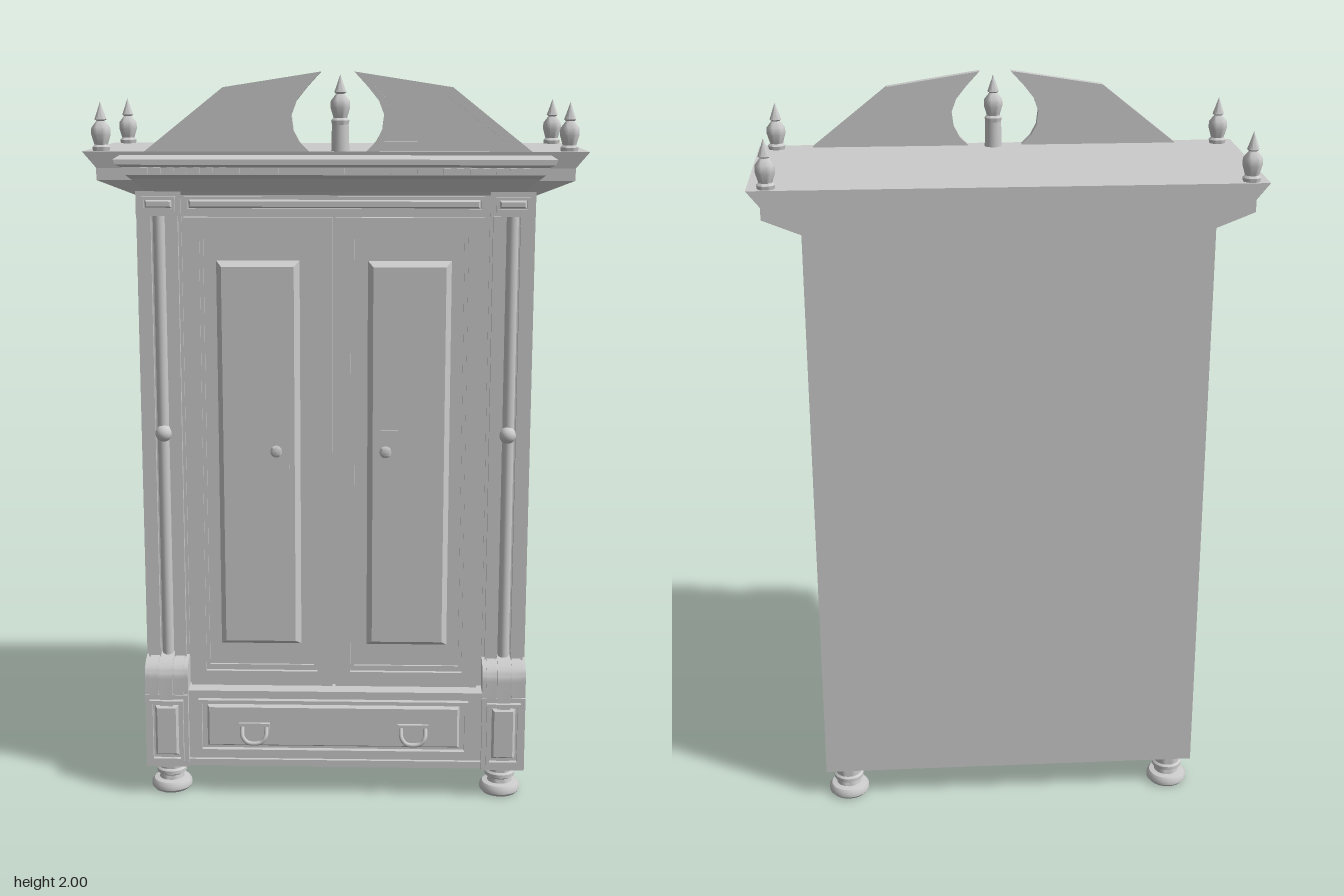
import * as THREE from 'three';
import { toCreasedNormals } from 'three/addons/utils/BufferGeometryUtils.js';

const grey = new THREE.MeshStandardMaterial({ color: 0xcccccc });

export function createModel() {
  const model = new THREE.Group();
  const add = (name, geo, x = 0, y = 0, z = 0, parent = model) => {
    const m = new THREE.Mesh(geo, grey);
    m.name = name;
    m.position.set(x, y, z);
    parent.add(m);
    return m;
  };

  // Box given by its limits
  const box = (name, x0, x1, y0, y1, z0, z1) =>
    add(name, new THREE.BoxGeometry(x1 - x0, y1 - y0, z1 - z0), (x0 + x1) / 2, (y0 + y1) / 2, (z0 + z1) / 2);

  // Capped solid through four-cornered rings
  const loft = (rings) => {
    const p = [];
    const quad = (a, b, c, d) => p.push(...a, ...b, ...c, ...a, ...c, ...d);
    for (let r = 0; r < rings.length - 1; r++) {
      for (let i = 0; i < 4; i++) {
        const j = (i + 1) % 4;
        quad(rings[r][i], rings[r][j], rings[r + 1][j], rings[r + 1][i]);
      }
    }
    quad(...[...rings[0]].reverse());
    quad(...rings[rings.length - 1]);
    const g = new THREE.BufferGeometry();
    g.setAttribute('position', new THREE.Float32BufferAttribute(p, 3));
    g.computeVertexNormals();
    return g;
  };
  const ringY = ([y, hx, zf, zb]) => [[-hx, y, zf], [hx, y, zf], [hx, y, zb], [-hx, y, zb]];
  const ringZ = (x0, x1, y0, y1, z) => [[x0, y0, z], [x1, y0, z], [x1, y1, z], [x0, y1, z]];

  // Raised field with sloping edges
  const raised = (name, x0, x1, y0, y1, z0, z1, bevel) =>
    add(name, loft([ringZ(x0, x1, y0, y1, z0), ringZ(x0 + bevel, x1 - bevel, y0 + bevel, y1 - bevel, z1)]));

  // Rectangular moulding with an opening
  const frame = (name, x0, x1, y0, y1, w, z0, z1) => {
    const rect = (C, a, b, c, d) =>
      new C([[a, c], [b, c], [b, d], [a, d]].map(([x, y]) => new THREE.Vector2(x, y)));
    const s = rect(THREE.Shape, x0, x1, y0, y1);
    s.holes.push(rect(THREE.Path, x0 + w, x1 - w, y0 + w, y1 - w));
    add(name, new THREE.ExtrudeGeometry(s, { depth: z1 - z0, bevelEnabled: false }), 0, 0, z0);
  };

  const lathe = (pts, seg = 20) =>
    toCreasedNormals(new THREE.LatheGeometry(pts.map(([x, y]) => new THREE.Vector2(x, y)), seg), 0.7);

  // Carcass
  box('carcass', -0.53, 0.53, 0.085, 1.69, -0.29, 0.215);
  box('drawerCase', -0.41, 0.41, 0.085, 0.3, 0.21, 0.268);
  box('drawerCaseLedge', -0.41, 0.41, 0.296, 0.308, 0.21, 0.275);
  box('baseRail', -0.41, 0.41, 0.085, 0.105, 0.21, 0.278);

  // Feet
  const foot = lathe([[0, 0], [0.05, 0], [0.057, 0.008], [0.057, 0.02], [0.05, 0.029], [0.035, 0.032],
    [0.033, 0.044], [0.042, 0.05], [0.042, 0.06], [0.036, 0.065], [0.036, 0.09]], 24);
  for (const x of [-0.467, 0.467]) for (const z of [0.225, -0.253]) add('foot', foot, x, 0, z);

  // Cornice
  add('cornice', loft([[1.68, 0.53, 0.222, -0.292], [1.72, 0.63, 0.24, -0.292], [1.752, 0.63, 0.24, -0.292],
    [1.795, 0.665, 0.248, -0.292]].map(ringY)));
  add('corniceFrontMoulding', loft([[1.69, 0.5, 0.228, 0.2], [1.725, 0.54, 0.25, 0.2], [1.735, 0.55, 0.265, 0.2],
    [1.755, 0.56, 0.265, 0.2], [1.762, 0.575, 0.276, 0.2], [1.776, 0.58, 0.276, 0.2], [1.786, 0.565, 0.25, 0.2]].map(ringY)));
  for (let i = 0; i < 30; i++) {
    const x = -0.5 + i / 29;
    box('dentil', x - 0.009, x + 0.009, 1.738, 1.754, 0.255, 0.272);
  }

  // Frieze
  box('friezeRail', -0.41, 0.41, 1.625, 1.69, 0.2, 0.222);
  frame('friezeMoulding', -0.4, 0.395, 1.637, 1.677, 0.008, 0.22, 0.234);
  raised('friezePanel', -0.39, 0.385, 1.645, 1.669, 0.22, 0.23, 0.005);

  for (const s of [-1, 1]) {
    const span = (fn, name, a, b, ...rest) => fn(name, Math.min(s * a, s * b), Math.max(s * a, s * b), ...rest);

    // Doors
    const door = (fn, name, a, b, ...rest) => span(fn, name, a + s * -0.004, b + s * -0.004, ...rest);
    door(box, 'door', 0.004, 0.4, 0.31, 1.622, 0.2, 0.222);
    door(frame, 'doorFrame', 0.004, 0.4, 0.31, 1.622, 0.042, 0.222, 0.234);
    door(frame, 'doorInnerMoulding', 0.046, 0.358, 0.36, 1.58, 0.01, 0.22, 0.229);
    door(raised, 'doorPanel', 0.09, 0.316, 0.43, 1.508, 0.22, 0.245, 0.016);

    // Knob and lock plate
    const kx = s * 0.148 - 0.011;
    box('lockPlate', kx - 0.012, kx + 0.034, 0.94, 1.05, 0.24, 0.247);
    add('knob', lathe([[0.009, 0], [0.006, 0.008], [0.007, 0.013], [0.016, 0.018], [0.016, 0.023], [0.009, 0.029], [0, 0.03]]),
      kx, 0.993, 0.244).rotation.x = Math.PI / 2;

    // Pilaster: two strips, a slim column with a ball, and a capital block
    span(box, 'pilasterBack', 0.41, 0.53, 0.38, 1.69, 0.2, 0.221);
    span(box, 'pilasterStrip', 0.418, 0.45, 0.38, 1.625, 0.215, 0.236);
    span(box, 'pilasterStrip', 0.49, 0.523, 0.38, 1.625, 0.215, 0.236);
    add('pilasterColumn', new THREE.CylinderGeometry(0.016, 0.016, 1.245, 16), s * 0.47, 1.0025, 0.222);
    add('pilasterBall', new THREE.SphereGeometry(0.023, 20, 14), s * 0.468, 1.035, 0.232);
    span(box, 'pilasterCap', 0.41, 0.53, 1.625, 1.69, 0.21, 0.228);
    span(frame, 'capMoulding', 0.425, 0.515, 1.637, 1.677, 0.008, 0.227, 0.24);
    span(raised, 'capPanel', 0.434, 0.506, 1.646, 1.668, 0.227, 0.235, 0.005);

    // Scrolled bracket with three ribs over the base block
    const bracket = (a, b, grow) => {
      const p = new THREE.Shape();
      p.moveTo(0.2, 0.085);
      p.lineTo(0.282 + grow, 0.085);
      p.lineTo(0.282 + grow, 0.345);
      p.bezierCurveTo(0.282 + grow, 0.38, 0.255, 0.395 + grow, 0.2, 0.398 + grow);
      p.closePath();
      const g = new THREE.ExtrudeGeometry(p, { depth: b - a, bevelEnabled: false, curveSegments: 12 });
      g.rotateY(-Math.PI / 2);
      add('bracket', toCreasedNormals(g, 0.6), s > 0 ? b : -a, 0, 0);
    };
    bracket(0.41, 0.53, 0);
    bracket(0.422, 0.448, 0.004);
    bracket(0.452, 0.488, 0.008);
    bracket(0.492, 0.518, 0.004);
    span(box, 'baseBlock', 0.41, 0.53, 0.085, 0.298, 0.25, 0.287);
    span(frame, 'baseBlockMoulding', 0.423, 0.517, 0.105, 0.285, 0.009, 0.285, 0.3);
    span(raised, 'baseBlockPanel', 0.436, 0.504, 0.12, 0.27, 0.285, 0.296, 0.008);

    // Drawer pull
    const hx = s * 0.222 - 0.003;
    box('pullPlate', hx - 0.043, hx + 0.043, 0.196, 0.216, 0.275, 0.287);
    box('pullPlateDrop', hx - 0.022, hx + 0.022, 0.18, 0.2, 0.275, 0.286);
    const bail = new THREE.CatmullRomCurve3([[-0.034, 0.206, 0.286], [-0.032, 0.182, 0.3], [-0.018, 0.166, 0.302],
      [0.018, 0.166, 0.302], [0.032, 0.182, 0.3], [0.034, 0.206, 0.286]].map((v) => new THREE.Vector3(...v)));
    add('pullHandle', new THREE.TubeGeometry(bail, 24, 0.006, 8), hx);

    // Pediment half: thin board with a raised rim
    const pts = (list) => list.map(([x, y]) => new THREE.Vector2(s * x, y));
    const outer = pts([[0.515, 1.79], [0.3, 1.96], [0.043, 2], [0.08, 1.96], [0.108, 1.925], [0.121, 1.89],
      [0.116, 1.85], [0.1, 1.82], [0.07, 1.79]]);
    const inner = pts([[0.44, 1.82], [0.288, 1.937], [0.095, 1.967], [0.13, 1.925], [0.145, 1.89], [0.138, 1.85], [0.122, 1.82]]);
    add('pedimentBoard', new THREE.ExtrudeGeometry(new THREE.Shape(outer), { depth: 0.012, bevelEnabled: false }), 0.007, 0, 0.215);
    const rim = new THREE.Shape(outer);
    rim.holes.push(new THREE.Path(inner));
    add('pedimentRim', new THREE.ExtrudeGeometry(rim, { depth: 0.013, bevelEnabled: false }), 0.007, 0, 0.227);
  }

  // Drawer front
  frame('drawerMoulding', -0.382, 0.372, 0.127, 0.283, 0.01, 0.265, 0.284);
  raised('drawerFront', -0.36, 0.35, 0.142, 0.268, 0.265, 0.278, 0.008);

  // Finials
  const finialProfile = [[0.022, 0], [0.024, 0.012], [0.018, 0.018], [0.02, 0.025], [0.026, 0.045], [0.025, 0.062],
    [0.014, 0.076], [0.011, 0.08], [0.016, 0.084], [0.012, 0.095], [0.005, 0.115], [0, 0.13]];
  const finial = lathe(finialProfile);
  for (const x of [-0.62, 0.615]) for (const z of [0.207, -0.265]) add('finial', finial, x, 1.793, z);
  add('centreFinialPost', new THREE.CylinderGeometry(0.022, 0.024, 0.075, 20), 0.013, 1.83, 0.207);
  add('centreFinial', finial, 0.013, 1.863, 0.207);

  return model;
}
